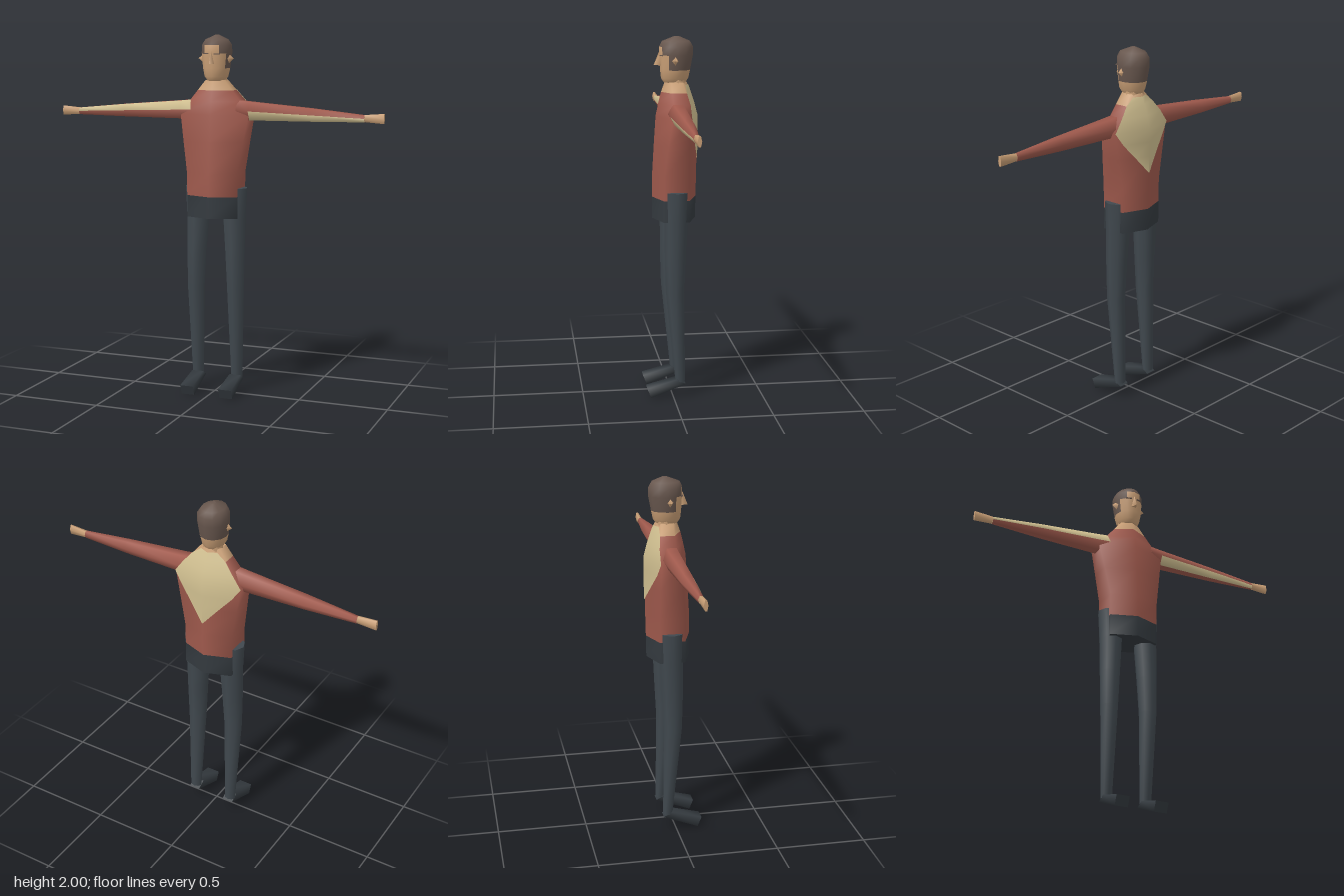
import * as THREE from 'three';

const mat = (name, color, side = THREE.FrontSide) => {
  const m = new THREE.MeshStandardMaterial({ color, side });
  m.name = name;
  return m;
};

// Joins rows of points into a smooth skin; pick(row, column) gives a material index.
function loft(name, rows, mats, { closed = true, caps = true, pick = () => 0 } = {}) {
  const n = rows[0].length, pos = rows.flat(2);
  const list = Array.isArray(mats) ? mats : [mats];
  const faces = list.map(() => []);
  for (let i = 0; i < rows.length - 1; i++) {
    for (let j = 0; j < (closed ? n : n - 1); j++) {
      const k = (j + 1) % n, a = i * n + j, b = i * n + k;
      faces[pick(i, j)].push(a, b, b + n, a, b + n, a + n);
    }
  }
  // Flat ends get their own corners so their edges stay sharp.
  if (closed && caps) {
    for (const end of [0, rows.length - 1]) {
      const base = pos.length / 3;
      pos.push(...rows[end].flat());
      for (let j = 1; j < n - 1; j++) {
        const f = end ? [base, base + j, base + j + 1] : [base, base + j + 1, base + j];
        faces[pick(Math.max(end - 1, 0), 0)].push(...f);
      }
    }
  }
  const g = new THREE.BufferGeometry();
  g.setAttribute('position', new THREE.Float32BufferAttribute(pos, 3));
  g.setIndex(faces.flat());
  let start = 0;
  faces.forEach((f, m) => { g.addGroup(start, f.length, m); start += f.length; });
  g.computeVertexNormals();
  const mesh = new THREE.Mesh(g, list);
  mesh.name = name;
  return mesh;
}

// Horizontal oval ring, starting at the front
const oval = (n, y, x, rx, zf, zb, turn = 0) => Array.from({ length: n }, (_, i) => {
  const a = ((i + turn) / n) * Math.PI * 2;
  return [x + rx * Math.sin(a), y, (zf + zb) / 2 + ((zf - zb) / 2) * Math.cos(a)];
});

// Upright six-sided ring across an arm, flat on top and bottom
const armRing = (x, y0, y1, zf, zb) => Array.from({ length: 6 }, (_, i) => {
  const a = Math.PI / 6 + (i * Math.PI) / 3;
  return [x, (y0 + y1) / 2 + ((y1 - y0) / 2) * Math.cos(a) / Math.cos(Math.PI / 6),
    (zf + zb) / 2 + ((zf - zb) / 2) * Math.sin(a)];
});

// Torso profile: height, half width, front, front corner, back corner, back
const TORSO = [
  [1.0, 0.145, 0.1, 0.05, -0.09, -0.14],
  [1.12, 0.145, 0.1, 0.05, -0.09, -0.142],
  [1.25, 0.147, 0.1, 0.05, -0.09, -0.145],
  [1.42, 0.175, 0.09, 0.03, -0.09, -0.148],
  [1.57, 0.2, 0.08, 0.01, -0.09, -0.148],
  [1.64, 0.15, 0.065, 0.0, -0.088, -0.13],
  [1.7, 0.1, 0.05, 0.0, -0.075, -0.11],
  [1.755, 0.055, 0.03, 0.0, -0.06, -0.09],
];
const torsoRing = ([y, w, f, cf, cb, b]) =>
  [[0, y, f], [w, y, cf], [w, y, cb], [0, y, b], [-w, y, cb], [-w, y, cf]];
const torsoAt = (y) => {
  const i = Math.min(TORSO.length - 2, Math.max(0, TORSO.findIndex((r) => r[0] >= y) - 1));
  const t = (y - TORSO[i][0]) / (TORSO[i + 1][0] - TORSO[i][0]);
  return TORSO[i].map((v, k) => THREE.MathUtils.lerp(v, TORSO[i + 1][k], t));
};

export function createModel() {
  const model = new THREE.Group();
  model.name = 'figure';
  const red = mat('shirt red', 0xa05a4d);
  const cream = mat('shirt cream', 0xd0bf90, THREE.DoubleSide);
  const skin = mat('skin', 0xc99f76);
  const hair = mat('hair', 0x68574e);
  const trousers = mat('trousers', 0x40484e);
  const dark = mat('dark cloth', 0x343a3f);

  // Torso: hips, shirt with skin above the neckline, cream back panel
  const rings = TORSO.map(torsoRing);
  model.add(loft('hips', rings.slice(0, 2), dark));
  model.add(loft('shirt', rings.slice(1), [red, skin], { pick: (i) => (i < 5 ? 0 : 1) }));
  const panel = [[1.33, 0.01], [1.42, 0.45], [1.5, 0.8], [1.57, 1], [1.64, 1], [1.7, 1], [1.74, 0.7]];
  model.add(loft('backPanel', panel.map(([y, t]) => {
    const [, w, , , cb, b] = torsoAt(y);
    const z = b + (cb - b) * t - 0.004;
    return [[w * t + 0.002, y, z], [0, y, b - 0.004], [-w * t - 0.002, y, z]];
  }), cream, { closed: false }));
  model.add(loft('neck', [oval(8, 1.7, 0, 0.062, 0.02, -0.09), oval(8, 1.8, 0, 0.055, 0.01, -0.085)], skin));

  // Head, with hair over the top, sides and back
  const head = [
    [1.752, 0.048, 0.035, -0.085], [1.775, 0.064, 0.05, -0.1], [1.82, 0.074, 0.055, -0.11],
    [1.9, 0.083, 0.06, -0.125], [1.945, 0.082, 0.06, -0.125], [1.975, 0.062, 0.045, -0.108],
    [2.0, 0.012, -0.02, -0.05],
  ].map(([y, rx, zf, zb]) => oval(12, y, 0, rx, zf, zb));
  model.add(loft('head', head, [skin, hair], {
    pick: (i, j) => {
      const fromFront = Math.min(j, 11 - j);
      return i >= 4 || (i === 3 && fromFront > 0) || (i === 2 && fromFront > 1) ? 1 : 0;
    },
  }));
  model.add(loft('nose', [
    [[-0.016, 1.845, 0.05], [0, 1.845, 0.09], [0.016, 1.845, 0.05]],
    [[-0.006, 1.915, 0.05], [0, 1.915, 0.062], [0.006, 1.915, 0.05]],
  ], skin));

  for (const s of [1, -1]) {
    const side = s > 0 ? 'left' : 'right';

    const ear = new THREE.Mesh(new THREE.ConeGeometry(0.03, 0.035, 4), skin);
    ear.name = side + 'Ear';
    ear.rotation.z = -s * Math.PI / 2;
    ear.position.set(s * 0.086, 1.872, -0.02);
    ear.scale.z = 0.7;
    model.add(ear);

    const brow = new THREE.Mesh(new THREE.BoxGeometry(0.034, 0.005, 0.008), hair);
    brow.name = side + 'Brow';
    brow.position.set(s * 0.032, 1.899, 0.052);
    brow.rotation.y = s * 0.3;
    model.add(brow);

    // Sleeves: the cream strip is the upper front on the right, the lower front on the left
    const along = (rows) => (s > 0 ? rows : rows.reverse());
    const sleeve = [
      [0.13, 1.54, 1.647, 0.028, -0.08], [0.2, 1.54, 1.64, 0.026, -0.08],
      [0.55, 1.542, 1.612, 0.013, -0.064], [0.84, 1.546, 1.584, -0.005, -0.037],
    ].map(([x, ...r]) => armRing(s * x, ...r));
    const strip = s > 0 ? 1 : 0;
    model.add(loft(side + 'Sleeve', along(sleeve), [red, cream], {
      pick: (i, j) => (j === strip && !(s > 0 && i === 0) ? 1 : 0),
    }));
    model.add(loft(side + 'Hand', along([
      armRing(s * 0.835, 1.548, 1.584, -0.006, -0.036),
      armRing(s * 0.945, 1.54, 1.593, -0.01, -0.032),
    ]), skin));

    // Legs, bent slightly at the knee
    const leg = [
      [0.085, 0.117, 0.033, -0.015, -0.07], [0.6, 0.118, 0.049, 0.038, -0.064],
      [0.8, 0.114, 0.056, 0.044, -0.075], [1.0, 0.108, 0.064, 0.045, -0.085],
      [1.165, 0.113, 0.068, 0.046, -0.09],
    ].map(([y, x, rx, zf, zb]) => oval(8, y, s * x, rx * 1.03, zf, zb));
    model.add(loft(side + 'Leg', leg, trousers));

    // Feet slope down to a blunt toe
    const foot = [[0.032, 0.072, -0.07, 0.1, -0.02], [0.038, 0.0, 0.125, 0.054, 0.147]].map(
      ([w, yb, zb, yt, zt]) => [[w, yb, zb], [w, yt, zt], [-w, yt, zt], [-w, yb, zb]]
        .map(([x, y, z]) => [x + s * 0.114, y, z]));
    model.add(loft(side + 'Foot', foot, dark));
  }
  return model;
}
